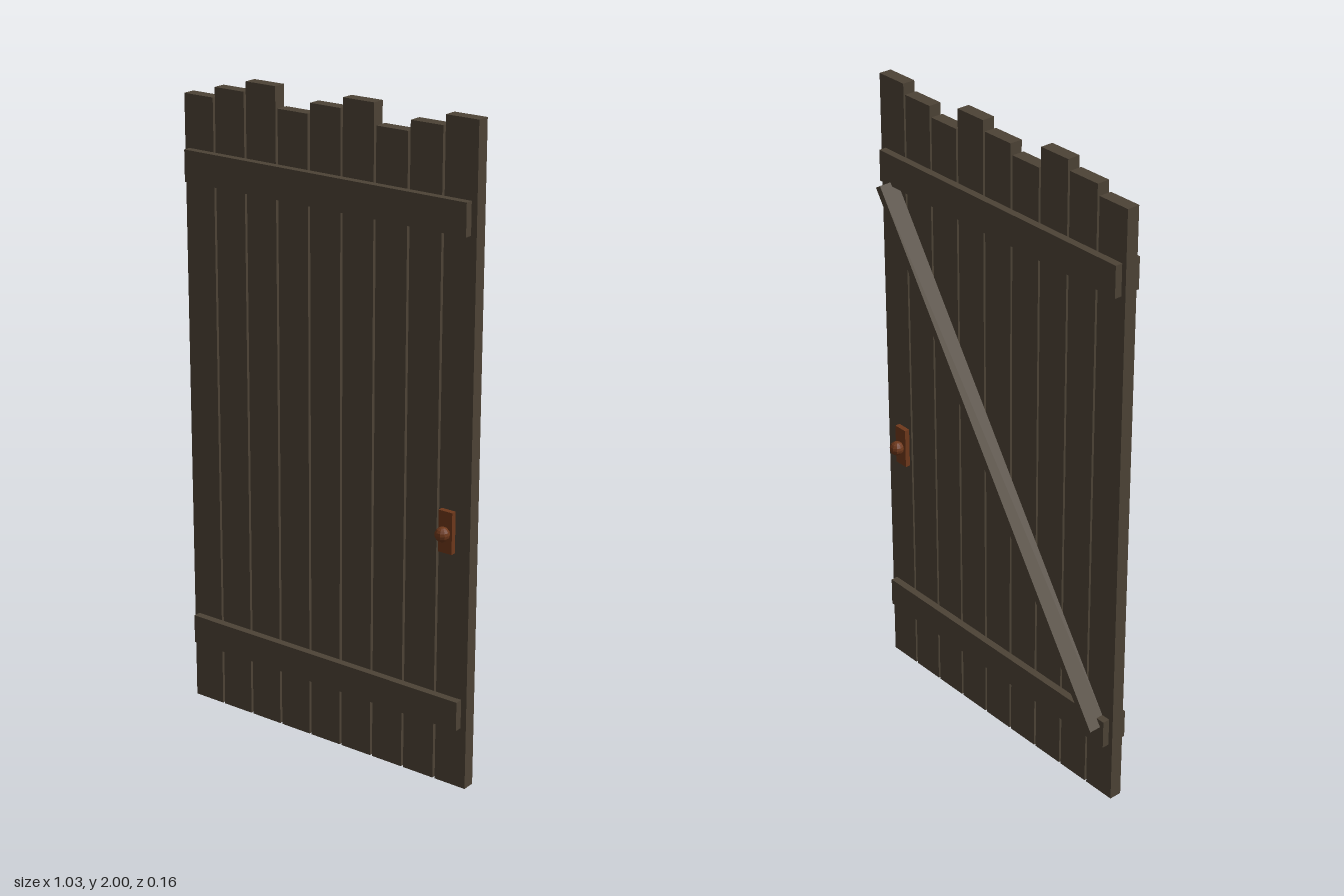
import * as THREE from 'three';

export function createModel() {
  const door = new THREE.Group();
  door.name = 'plankDoor';

  const wood = new THREE.MeshStandardMaterial({ color: 0x4d4336 });
  wood.name = 'dark wood';
  const rust = new THREE.MeshStandardMaterial({ color: 0x6e381b, flatShading: true });
  rust.name = 'rusty metal';

  // Box given by its limits on each axis
  function box(name, material, [x0, x1], [y0, y1], [z0, z1]) {
    const mesh = new THREE.Mesh(new THREE.BoxGeometry(x1 - x0, y1 - y0, z1 - z0), material);
    mesh.position.set((x0 + x1) / 2, (y0 + y1) / 2, (z0 + z1) / 2);
    mesh.name = name;
    door.add(mesh);
    return mesh;
  }

  // Nine upright planks with uneven tops
  const heights = [1.937, 1.969, 2];
  for (let i = 0; i < 9; i++) {
    const x = (i - 4) * 0.115;
    box('plank' + (i + 1), wood, [x - 0.0535, x + 0.0535], [0, heights[i % 3]], [-0.016, 0.024]);
  }

  // Cross rails on both faces
  for (const [label, y] of [['upper', [1.679, 1.776]], ['lower', [0.194, 0.286]]]) {
    box(label + 'FrontRail', wood, [-0.498, 0.495], y, [0.024, 0.048]);
    box(label + 'BackRail', wood, [-0.498, 0.495], y, [-0.039, -0.016]);
  }

  // Slim diagonal brace across the back
  const brace = new THREE.Mesh(new THREE.BoxGeometry(1.705, 0.022, 0.062), wood);
  brace.position.set(-0.0095, 0.97, -0.047);
  brace.rotation.z = 0.993;
  brace.name = 'diagonalBrace';
  door.add(brace);

  // Handle plate and faceted knob on each face
  for (const [label, plateZ, knobZ] of [['front', [0.024, 0.041], 0.056], ['back', [-0.032, -0.016], -0.047]]) {
    box(label + 'HandlePlate', rust, [0.416, 0.463], [0.74, 0.868], plateZ);
    const knob = new THREE.Mesh(new THREE.SphereGeometry(0.0225, 10, 8), rust);
    knob.position.set(0.44, 0.803, knobZ);
    knob.name = label + 'Knob';
    door.add(knob);
  }

  return door;
}
